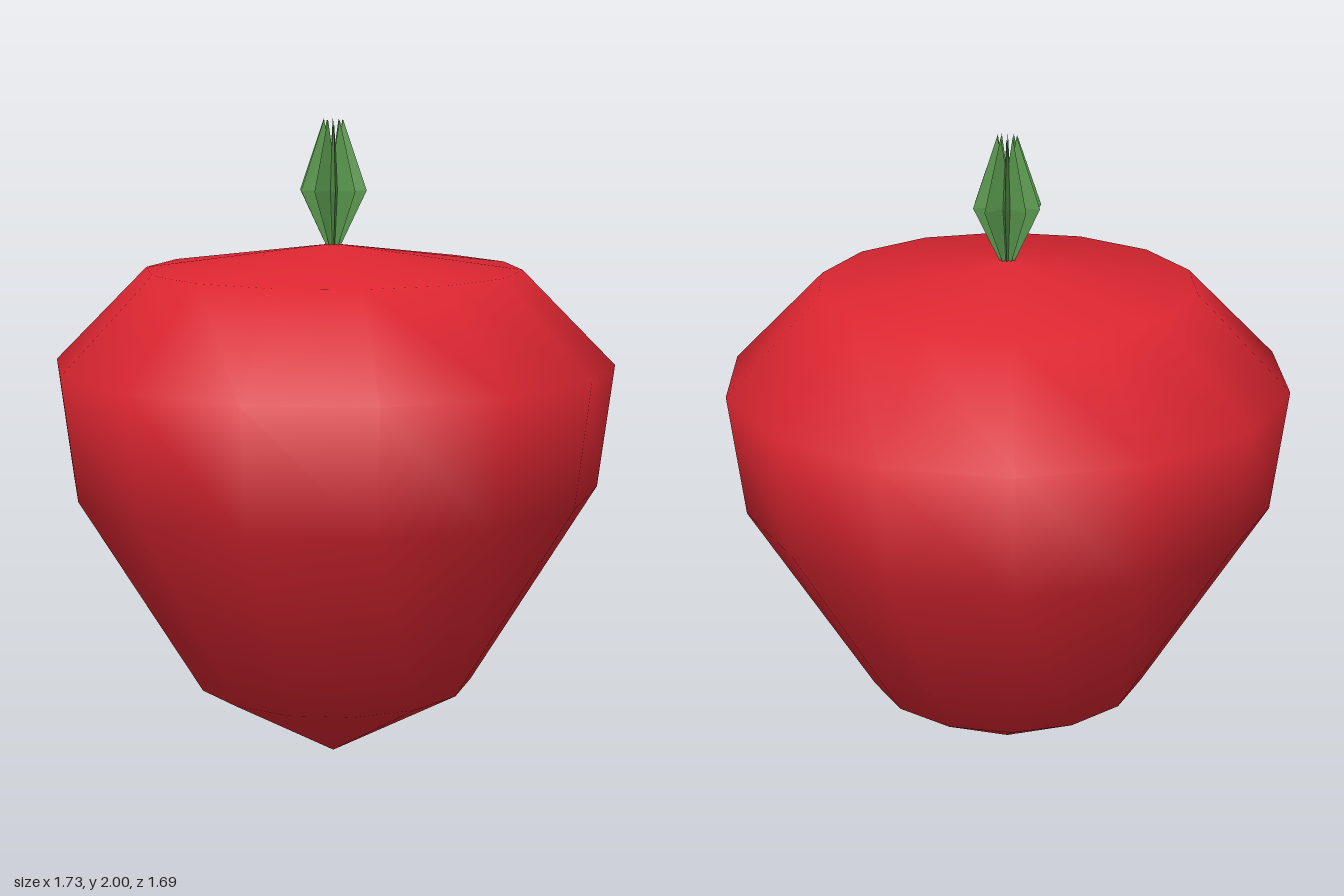
import * as THREE from 'three';

const red = new THREE.MeshStandardMaterial({ color: 0xdc2631 });
red.name = 'berry red';
const green = new THREE.MeshStandardMaterial({ color: 0x5a9a4e, flatShading: true, side: THREE.DoubleSide });
green.name = 'stem green';

// Star-shaped stalk: rings of alternating ridges and valleys, open at the top
function stalkGeometry(points) {
  const rings = [ // ridge radius, ridge height, valley radius, valley height
    [0.02, 1.61, 0.012, 1.61],
    [0.105, 1.785, 0.035, 1.785],
    [0.03, 2.0, 0.018, 1.92],
  ];
  const n = points * 2;
  const pos = [], index = [];
  for (const [ro, yo, ri, yi] of rings) {
    for (let i = 0; i < n; i++) {
      const a = (i / n) * Math.PI * 2;
      const r = i % 2 ? ri : ro;
      pos.push(r * Math.cos(a), i % 2 ? yi : yo, r * Math.sin(a));
    }
  }
  for (let k = 0; k < rings.length - 1; k++) {
    for (let i = 0; i < n; i++) {
      const a = k * n + i, b = k * n + (i + 1) % n;
      // split each quad so the ridges keep mirrored facets
      if (i % 2) index.push(a, a + n, b, b, a + n, b + n);
      else index.push(a, b + n, b, a, a + n, b + n);
    }
  }
  const g = new THREE.BufferGeometry();
  g.setAttribute('position', new THREE.Float32BufferAttribute(pos, 3));
  g.setIndex(index);
  g.computeVertexNormals();
  return g;
}

export function createModel() {
  const model = new THREE.Group();
  model.name = 'berry';

  // Smooth fourteen-sided fruit, with a corner on the x axis
  const profile = [[0, 0], [0.435, 0.245], [0.82, 0.875], [0.867, 1.255], [0.58, 1.545], [0, 1.622]]
    .map(([r, y]) => new THREE.Vector2(r, y));
  const fruit = new THREE.Mesh(new THREE.LatheGeometry(profile, 14, Math.PI / 2), red);
  fruit.name = 'fruit';

  const stalk = new THREE.Mesh(stalkGeometry(10), green);
  stalk.name = 'stalk';

  model.add(fruit, stalk);
  return model;
}
